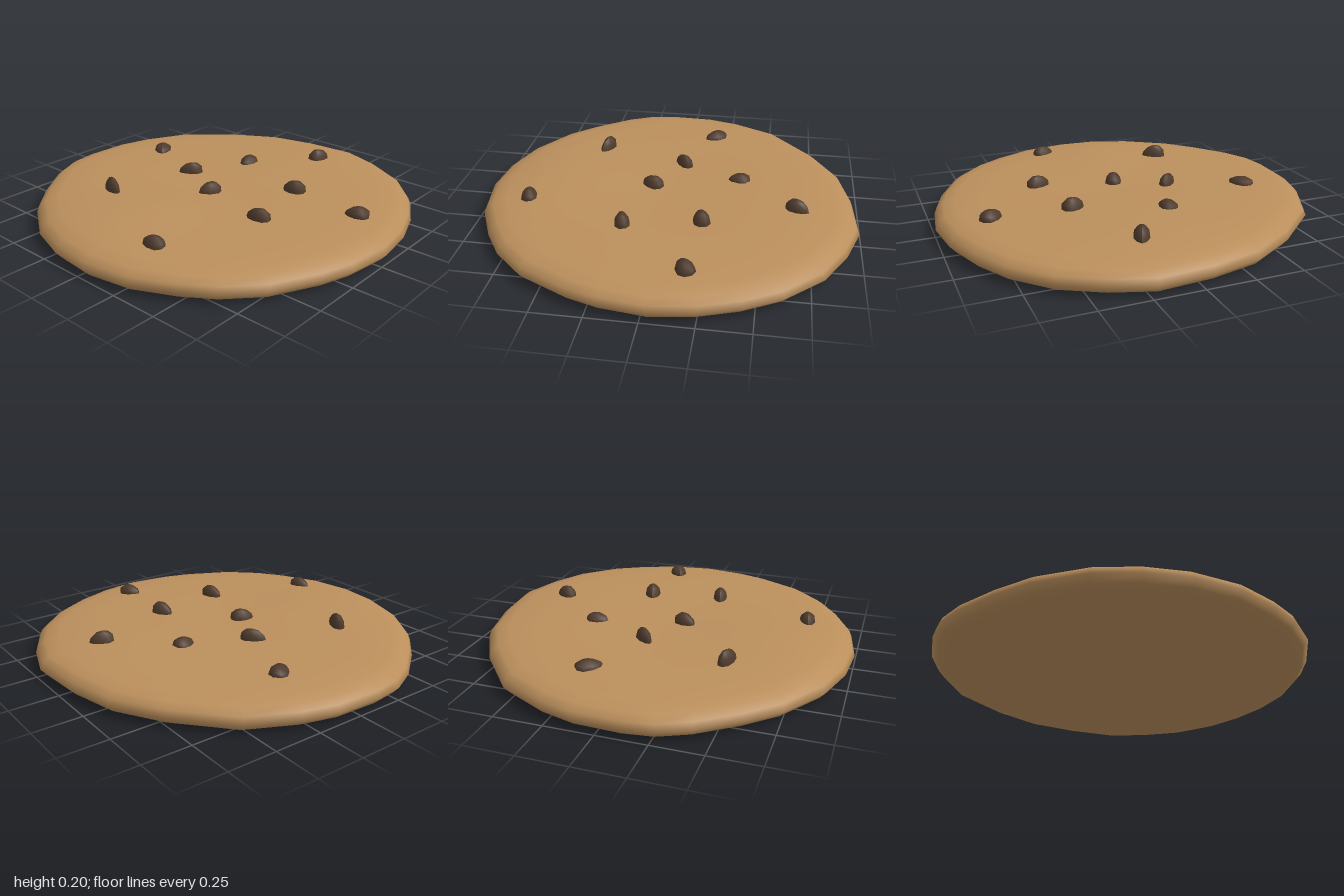
import * as THREE from 'three';

// Hand-shaped outline of the cookie in x, z, seen from above
const OUTLINE = [
  [-0.12, -1], [0.12, -0.99], [0.30, -0.94], [0.54, -0.82], [0.77, -0.56], [0.91, -0.32], [0.97, -0.06],
  [0.99, 0.22], [0.92, 0.43], [0.81, 0.63], [0.63, 0.80], [0.45, 0.90], [0.25, 0.97], [0.03, 1],
  [-0.20, 0.97], [-0.36, 0.92], [-0.60, 0.80], [-0.76, 0.65], [-0.86, 0.50], [-0.96, 0.29], [-1, 0.05],
  [-0.98, -0.18], [-0.91, -0.40], [-0.76, -0.63], [-0.61, -0.77], [-0.42, -0.91], [-0.27, -0.98],
];

// Rings of the cookie: outline scale, height; underside to top
const RINGS = [
  [0, 0.005], [0.5, 0.005], [0.91, 0.006], [0.97, 0.02], [1, 0.055], [0.985, 0.09],
  [0.95, 0.115], [0.88, 0.13], [0.72, 0.138], [0.48, 0.139], [0.24, 0.138], [0, 0.136],
];

// Soft swellings of the top surface
function swell(x, z) {
  const hill = (cx, cz, r, h) => h * Math.exp(-((x - cx) ** 2 + (z - cz) ** 2) / (r * r));
  return hill(-0.6, -0.08, 0.27, 0.026) + hill(0.5, 0.1, 0.3, 0.012);
}

function doughGeometry() {
  const n = OUTLINE.length;
  const positions = [], index = [];
  RINGS.forEach(([scale, y], i) => {
    for (const [ox, oz] of OUTLINE) {
      const x = ox * scale, z = oz * scale;
      positions.push(x, i > 6 ? y + swell(x, z) : y, z);
    }
    if (i === 0) return;
    for (let j = 0; j < n; j++) {
      const k = (j + 1) % n;
      const a = (i - 1) * n + j, b = (i - 1) * n + k, c = i * n + j, d = i * n + k;
      if (RINGS[i - 1][0] > 0) index.push(a, c, b);
      if (scale > 0) index.push(b, c, d);
    }
  });
  const g = new THREE.BufferGeometry();
  g.setAttribute('position', new THREE.Float32BufferAttribute(positions, 3));
  g.setIndex(index);
  g.computeVertexNormals();
  return g;
}

// Rounded lump, blunt at one end and narrower at the other
function chipGeometry() {
  const g = new THREE.SphereGeometry(1, 9, 6);
  const p = g.attributes.position;
  for (let i = 0; i < p.count; i++) {
    const x = p.getX(i);
    p.setZ(i, p.getZ(i) * (1 + 0.2 * x));
    p.setY(i, p.getY(i) * (1 + 0.12 * x));
    p.setX(i, Math.min(x, 0.85) * 1.05);
  }
  g.computeVertexNormals();
  return g;
}

// Chips: x, z, top height, half length, half width, turn in degrees
const CHIPS = [
  [0.18, -0.64, 0.175, 0.07, 0.05, 40],
  [-0.435, -0.39, 0.21, 0.07, 0.034, 70],
  [0.035, -0.26, 0.195, 0.068, 0.035, -48],
  [0.36, -0.11, 0.18, 0.062, 0.049, 5],
  [-0.10, 0.005, 0.192, 0.064, 0.045, -25],
  [0.67, 0.165, 0.202, 0.065, 0.042, 158],
  [-0.725, 0.225, 0.188, 0.062, 0.043, -80],
  [-0.19, 0.41, 0.196, 0.066, 0.04, -78],
  [0.2, 0.34, 0.2, 0.064, 0.045, -75],
  [0.17, 0.75, 0.182, 0.063, 0.047, -65],
];

export function createModel() {
  const cookie = new THREE.Group();
  cookie.name = 'cookie';

  const dough = new THREE.Mesh(doughGeometry(), new THREE.MeshStandardMaterial({ color: 0xbb8f5c }));
  dough.name = 'dough';
  cookie.add(dough);

  // Chocolate chips sunk halfway into the top
  const chips = new THREE.Group();
  chips.name = 'chocolateChips';
  const shape = chipGeometry();
  const chocolate = new THREE.MeshStandardMaterial({ color: 0x4e3a2c });
  CHIPS.forEach(([x, z, top, length, width, turn], i) => {
    const chip = new THREE.Mesh(shape, chocolate);
    chip.name = `chip${i + 1}`;
    const base = 0.135;
    chip.position.set(x, base, z);
    chip.scale.set(length, top - base, width);
    chip.rotation.y = THREE.MathUtils.degToRad(turn);
    chips.add(chip);
  });
  cookie.add(chips);
  return cookie;
}
